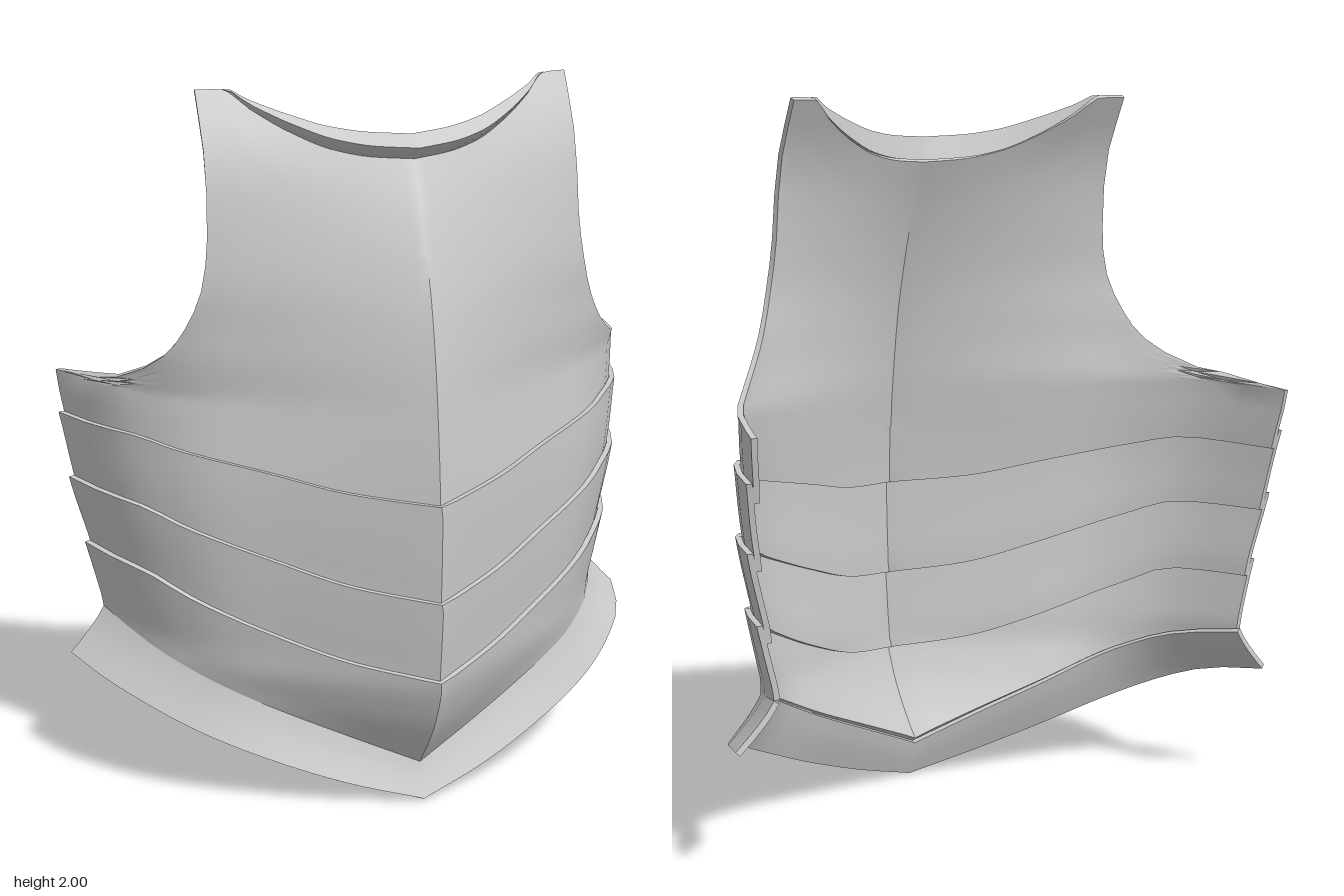
import * as THREE from 'three';
import { toCreasedNormals } from 'three/addons/utils/BufferGeometryUtils.js';

const NU = 40;          // columns across each plate
const THICK = 0.016;

// Monotone cubic through [x, y] points, clamped at both ends
function curve(pts) {
  const n = pts.length - 1;
  const sec = i => (pts[i + 1][1] - pts[i][1]) / (pts[i + 1][0] - pts[i][0]);
  const slope = i => {
    if (i === 0) return sec(0);
    if (i === n) return sec(n - 1);
    const a = sec(i - 1), b = sec(i);
    return a * b <= 0 ? 0 : 2 * a * b / (a + b);
  };
  return x => {
    if (x <= pts[0][0]) return pts[0][1];
    if (x >= pts[n][0]) return pts[n][1];
    let i = 0;
    while (x > pts[i + 1][0]) i++;
    const h = pts[i + 1][0] - pts[i][0], t = (x - pts[i][0]) / h, s = 1 - t;
    return pts[i][1] * (1 + 2 * t) * s * s + slope(i) * h * t * s * s
      + pts[i + 1][1] * t * t * (3 - 2 * t) - slope(i + 1) * h * t * t * s;
  };
}

// Body surface: centre ridge profile, outline half width, and sideways fall-away
const ridge = curve([[0.105, 0.25], [0.2, 0.32], [0.3, 0.37], [0.41, 0.4], [0.64, 0.405], [0.92, 0.395],
  [1.2, 0.368], [1.4, 0.335], [1.6, 0.28], [1.82, 0.19], [2, 0.09]]);
const halfWidth = curve([[0.47, 0.76], [0.67, 0.79], [0.87, 0.825], [1.05, 0.84], [1.17, 0.855], [1.18, 0.83],
  [1.21, 0.75], [1.29, 0.65], [1.37, 0.6], [1.48, 0.56], [1.62, 0.54], [1.85, 0.535], [2, 0.535]]);
const fall = curve([[0, 0], [0.23, 0.12], [0.46, 0.235], [0.7, 0.355], [0.84, 0.47], [0.88, 0.515], [0.93, 0.6], [1, 0.785]]);
const fallScale = curve([[0.1, 0.93], [0.5, 0.94], [0.9, 0.97], [1.17, 1], [1.21, 0.97], [1.29, 0.9], [1.37, 0.845],
  [1.48, 0.74], [1.62, 0.64], [1.85, 0.44], [2, 0.4]]);

function onBody(x, y) {
  const u = Math.abs(x) / halfWidth(Math.min(y, 1.17));
  return new THREE.Vector3(x, y, ridge(y) - fall(u) * fallScale(y));
}

// Grid of points, rows running top to bottom
function makeGrid(fn, rows) {
  const pts = [];
  for (let j = 0; j <= rows; j++)
    for (let i = 0; i <= NU; i++) pts.push(fn(2 * i / NU - 1, j / rows));
  const idx = [];
  for (let j = 0; j < rows; j++)
    for (let i = 0; i < NU; i++) {
      const a = j * (NU + 1) + i, c = a + NU + 1;
      idx.push(a, c, a + 1, a + 1, c, c + 1);
    }
  return { pts, idx };
}

function finish(name, pts, idx) {
  const geo = new THREE.BufferGeometry().setFromPoints(pts);
  geo.setIndex(idx);
  const mat = new THREE.MeshStandardMaterial({ color: 0xcccccc });
  const mesh = new THREE.Mesh(toCreasedNormals(geo, 0.75), mat);
  mesh.name = name;
  return mesh;
}

// Sheet with thickness and closed rim, pushed outwards by lift(t)
function plate(name, fn, rows, lift = () => 0) {
  const { pts, idx } = makeGrid(fn, rows);
  const sheet = new THREE.BufferGeometry().setFromPoints(pts);
  sheet.setIndex(idx);
  sheet.computeVertexNormals();
  const n = pts.length, w = NU + 1, outer = [], inner = [];
  pts.forEach((p, k) => {
    const nor = new THREE.Vector3().fromBufferAttribute(sheet.attributes.normal, k);
    const d = lift(Math.floor(k / w) / rows);
    outer.push(p.clone().addScaledVector(nor, d));
    inner.push(p.clone().addScaledVector(nor, d - THICK));
  });
  const all = [...idx];
  for (let k = 0; k < idx.length; k += 3) all.push(idx[k] + n, idx[k + 2] + n, idx[k + 1] + n);
  const loop = [];
  for (let i = 0; i < NU; i++) loop.push(i);
  for (let j = 0; j < rows; j++) loop.push(j * w + NU);
  for (let i = NU; i > 0; i--) loop.push(rows * w + i);
  for (let j = rows; j > 0; j--) loop.push(j * w);
  loop.forEach((p, k) => {
    const q = loop[(k + 1) % loop.length];
    all.push(p, q, q + n, p, q + n, p + n);
  });
  return finish(name, [...outer, ...inner], all);
}

// Edge curves: height as a function of position across, 0 centre to 1 side
const edges = [
  curve([[0, 0.915], [0.24, 0.935], [0.48, 0.982], [0.72, 1.028], [0.88, 1.06], [1, 1.052]]),
  curve([[0, 0.64], [0.24, 0.67], [0.48, 0.735], [0.72, 0.81], [0.89, 0.865], [1, 0.868]]),
  curve([[0, 0.41], [0.25, 0.445], [0.5, 0.515], [0.76, 0.61], [0.89, 0.665], [1, 0.674]]),
  curve([[0, 0.105], [0.26, 0.19], [0.53, 0.28], [0.79, 0.38], [1, 0.47]]),
];

// Chest rows: side heights, denser around the armhole
const sideRows = [2, 1.93, 1.85, 1.74, 1.62, 1.55, 1.48, 1.42, 1.37, 1.33, 1.29, 1.25, 1.21, 1.195, 1.18, 1.17, 1.11, 1.05, 1.0];
const neckShape = curve([[0, 0], [0.2, 0.035], [0.38, 0.14], [0.58, 0.4], [0.75, 0.72], [0.87, 1], [1, 1]]);
const neckAt = u => onBody(u * 0.535, 1.82 + 0.18 * neckShape(Math.abs(u)));

function chestPoint(u, t) {
  const a = Math.abs(u), side = sideRows[Math.round(t * (sideRows.length - 1))];
  const v = side - 1;                                  // 0 at the bottom, 1 at the neck
  const low = (edges[0](a) - 0.915) / (1.052 - 0.915);
  const shape = THREE.MathUtils.lerp(low, neckShape(a), v);
  const centre = 0.865 + v * (1.82 - 0.865);
  return onBody(u * halfWidth(side), centre + (side - centre) * shape);
}

export function createModel() {
  const group = new THREE.Group();
  group.name = 'breastplate';
  group.add(plate('chestPlate', chestPoint, sideRows.length - 1));

  // Overlapping waist plates, each standing proud at its top edge
  ['upperWaistPlate', 'middleWaistPlate', 'lowerWaistPlate'].forEach((name, k) => {
    const tuck = k < 2 ? 0.05 : 0;
    group.add(plate(name, (u, t) => {
      const a = Math.abs(u);
      const y = THREE.MathUtils.lerp(edges[k](a), edges[k + 1](a) - tuck, t);
      const side = THREE.MathUtils.lerp(edges[k](1), edges[k + 1](1) - tuck, t);
      return onBody(u * halfWidth(side), y);
    }, 10, t => 0.018 * Math.max(0, 1 - t * 1.2)));
  });

  // Flared skirt along the bottom edge
  const hemY = curve([[0, 0.005], [0.23, 0.06], [0.46, 0.13], [0.69, 0.215], [0.92, 0.315], [1, 0.345]]);
  const hemZ = curve([[0, 0.285], [0.23, 0.235], [0.46, 0.165], [0.69, 0.07], [0.92, -0.13], [1, -0.32]]);
  group.add(plate('skirtFlange', (u, t) => {
    const a = Math.abs(u), top = onBody(u * 0.76, edges[3](a)), out = t ** 1.2;
    return new THREE.Vector3(
      THREE.MathUtils.lerp(top.x, u * 0.865, out),
      THREE.MathUtils.lerp(top.y, hemY(a), t),
      THREE.MathUtils.lerp(top.z, hemZ(a), out));
  }, 4));

  // Raised neck lip, tapering towards the shoulders
  const profile = [[0.065, -0.015], [0.035, 0.04], [0, 0], [0, -0.03], [0.065, -0.015]];
  const lip = makeGrid((u, t) => {
    const [dy, dz] = profile[Math.round(t * 4)];
    const k = Math.max(0.02, 1 - Math.abs(u) ** 3);
    const p = neckAt(u * 0.87);
    p.y = Math.min(2, p.y + dy * k);
    p.z += dz * k;
    return p;
  }, 4);
  group.add(finish('neckLip', lip.pts, lip.idx));
  return group;
}
